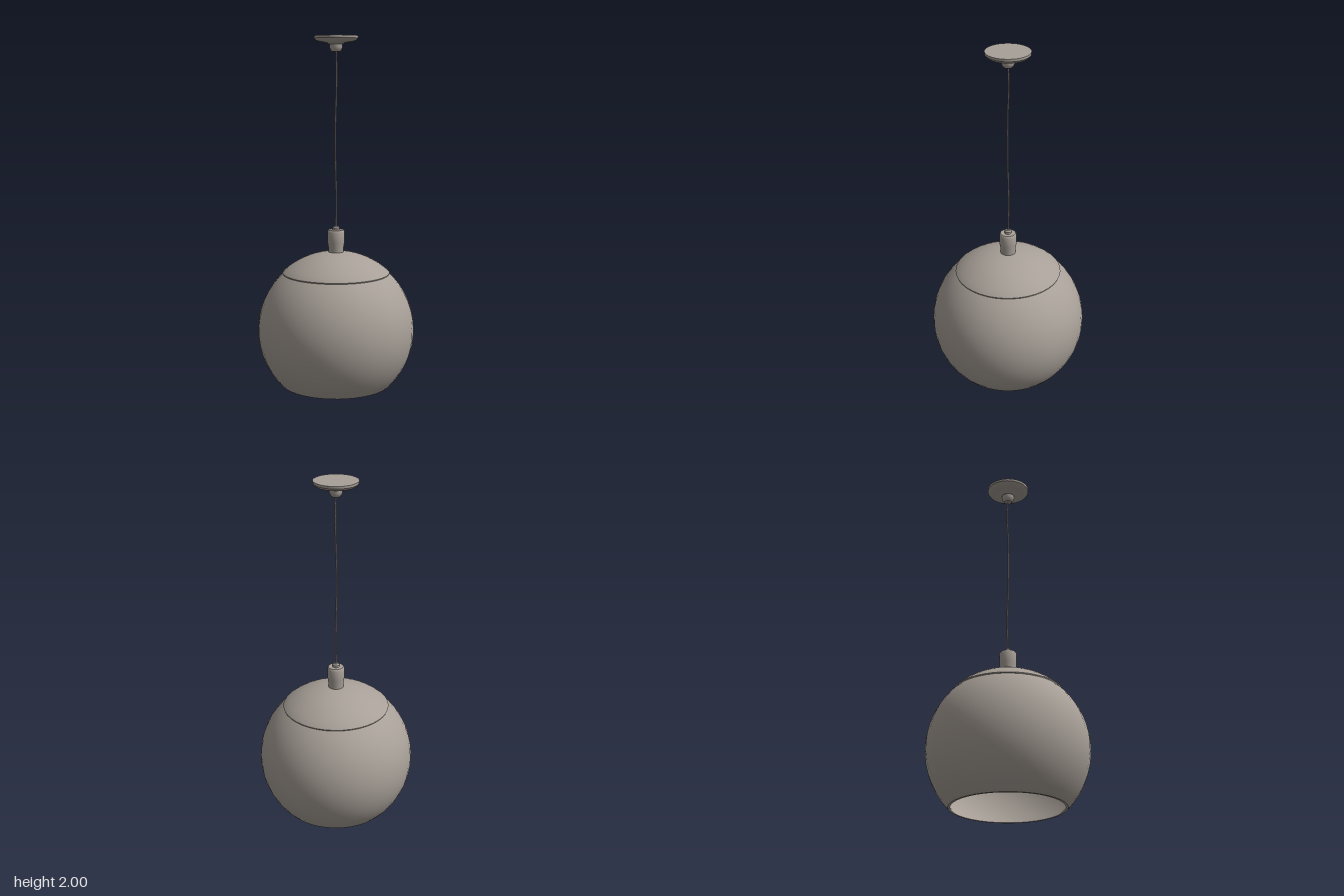
import * as THREE from 'three';
import { toCreasedNormals } from 'three/addons/utils/BufferGeometryUtils.js';

export function createModel() {
  const model = new THREE.Group();
  model.name = 'pendantLamp';
  const metal = new THREE.MeshStandardMaterial({ color: 0xa8a098 });
  metal.name = 'warm grey';

  const add = (name, geometry) => {
    const mesh = new THREE.Mesh(geometry, metal);
    mesh.name = name;
    model.add(mesh);
    return mesh;
  };
  // Turned part; the profile runs upward along its outer side
  const turn = (name, points, sides = 32) => add(name, toCreasedNormals(
    new THREE.LatheGeometry(points.map(([r, y]) => new THREE.Vector2(r, y)), sides), 0.6));
  // Arc of the globe between two heights, as profile points
  const centre = 0.318;
  const arc = (radius, y0, y1, steps) => {
    const a0 = Math.asin((y0 - centre) / radius);
    const a1 = Math.asin(Math.min(1, (y1 - centre) / radius));
    return Array.from({ length: steps + 1 }, (_, i) => {
      const a = a0 + (a1 - a0) * i / steps;
      return [Math.max(0, radius * Math.cos(a)), centre + radius * Math.sin(a)];
    });
  };

  // Hollow globe shade, open at the bottom
  turn('shade', [
    ...arc(0.442, 0, 0.76, 20).reverse(),
    ...arc(0.451, 0, 0.769, 20),
  ], 40);

  // Domed cap with a small rolled rim
  turn('cap', [[0.296, 0.646], [0.307, 0.648], [0.309, 0.654], ...arc(0.458, 0.662, 0.776, 10)], 40);

  // Socket stem and cable grip
  turn('socket', [[0.043, 0.75], [0.044, 0.8], [0.049, 0.83], [0.05, 0.893], [0.044, 0.902], [0, 0.902]], 24);
  turn('cableGrip', [[0.02, 0.9], [0.02, 0.914], [0.013, 0.923], [0, 0.923]], 12);

  // Slightly slack cable
  const path = new THREE.CatmullRomCurve3([
    [0, 0.91, 0], [0, 1.1, -0.004], [-0.003, 1.3, 0.002], [-0.004, 1.45, 0.004],
    [0.001, 1.65, 0.001], [0.002, 1.8, -0.005], [0, 1.93, 0],
  ].map((p) => new THREE.Vector3(...p)));
  add('cable', new THREE.TubeGeometry(path, 32, 0.005, 8));

  // Ceiling canopy with its cable collar
  turn('canopy', [
    [0, 1.95], [0.04, 1.952], [0.05, 1.96], [0.09, 1.965], [0.113, 1.973],
    [0.124, 1.986], [0.125, 2], [0, 2],
  ], 32);
  turn('collar', [[0, 1.911], [0.022, 1.911], [0.031, 1.92], [0.036, 1.935], [0.036, 1.955]], 20);

  return model;
}
